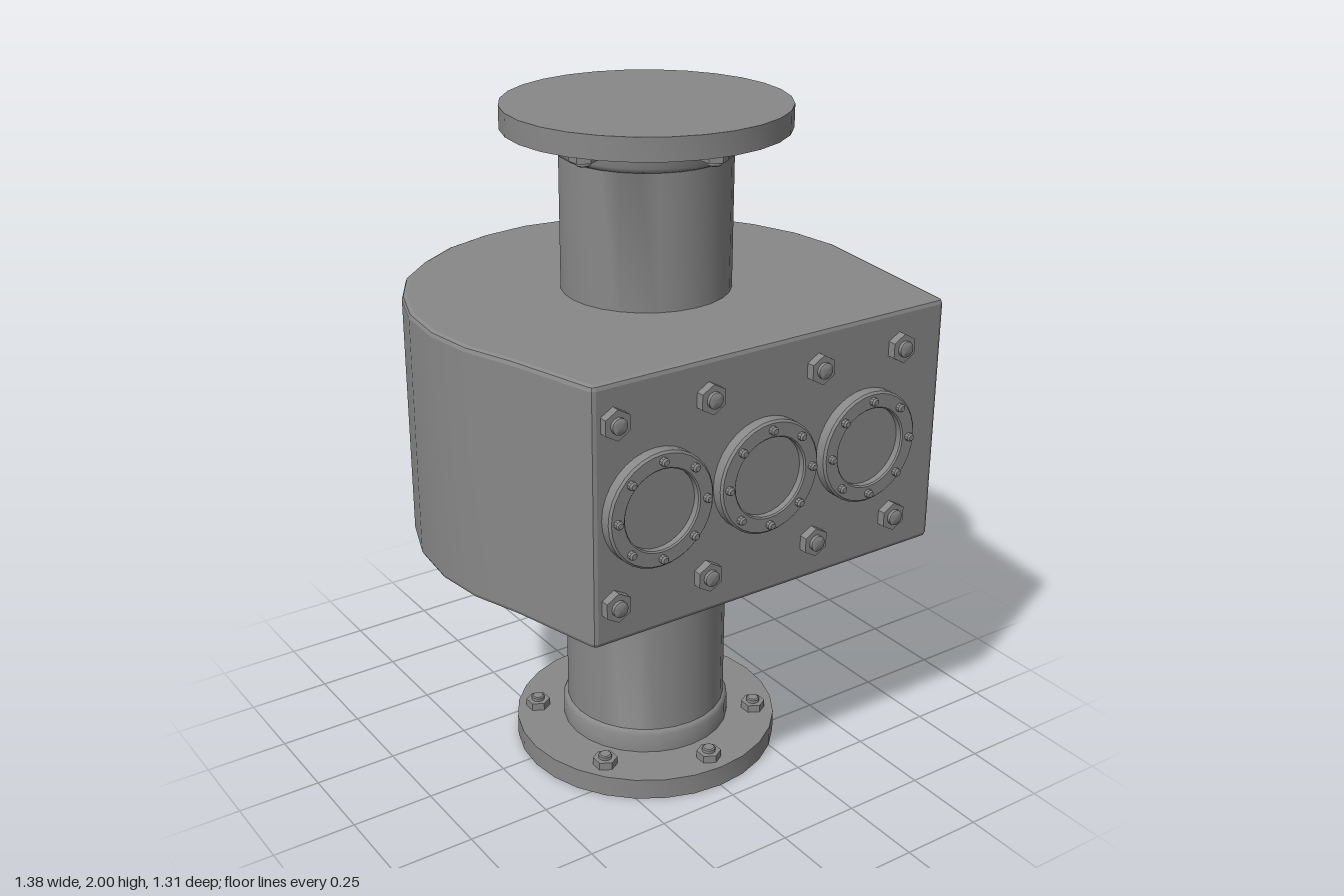
import * as THREE from 'three';
import { toCreasedNormals } from 'three/addons/utils/BufferGeometryUtils.js';

const grey = new THREE.MeshStandardMaterial({ color: 0x888888 });
const AXIS_Z = 0.036;   // pipe axis
const FACE_Z = 0.603;   // flat front of the housing

function mesh(name, geometry, parent, crease = 0.6) {
  const m = new THREE.Mesh(toCreasedNormals(geometry, crease), grey);
  m.name = name;
  parent.add(m);
  return m;
}

function lathe(profile, sides) {
  return new THREE.LatheGeometry(profile.map(([r, y]) => new THREE.Vector2(r, y)), sides);
}

// Hexagon nut and stud end, standing along +y
function makeBolt(name, size) {
  const bolt = new THREE.Group();
  bolt.name = name;
  mesh('nut', new THREE.CylinderGeometry(0.037 * size, 0.037 * size, 0.024, 6), bolt).position.y = 0.012;
  mesh('stud', lathe([[0.02 * size, 0], [0.02 * size, 0.034], [0.016 * size, 0.037], [0, 0.037]], 12), bolt);
  return bolt;
}

// Flange, collar and pipe as one turned part, with bolts at the given angles
function makePipe(name, length, boltAngles) {
  const pipe = new THREE.Group();
  pipe.name = name;
  mesh('flangedPipe', lathe([
    [0, 0], [0.404, 0], [0.404, 0.065], [0.257, 0.065], [0.257, 0.122],
    [0.251, 0.133], [0.244, 0.137], [0.244, length],
  ], 28), pipe);
  for (const degrees of boltAngles) {
    const a = THREE.MathUtils.degToRad(degrees);
    const bolt = makeBolt('flangeBolt', 1);
    bolt.position.set(Math.sin(a) * 0.34, 0.065, Math.cos(a) * 0.34);
    pipe.add(bolt);
  }
  return pipe;
}

// Round window frame with recessed pane and eight screws, facing +y
function makePort() {
  const port = new THREE.Group();
  port.name = 'port';
  mesh('frame', lathe([
    [0.164, 0], [0.164, 0.03], [0.158, 0.036], [0.119, 0.036],
    [0.115, 0.032], [0.115, 0.014], [0, 0.014],
  ], 32), port);
  for (let i = 0; i < 8; i++) {
    const a = (i * Math.PI) / 4;
    const screw = mesh('screw', lathe([[0.012, 0], [0.012, 0.011], [0.008, 0.016], [0, 0.016]], 10), port);
    screw.position.set(Math.sin(a) * 0.139, 0.036, Math.cos(a) * 0.139);
  }
  return port;
}

// Rounded drum with a flat front, outline given as x, z
function makeHousing(parent) {
  const outline = [
    [0, -0.656], [0.16, -0.634], [0.31, -0.582], [0.435, -0.496], [0.543, -0.39],
    [0.62, -0.26], [0.672, -0.115], [0.689, 0.036], [0.619, 0.588], [0.614, 0.598], [0.603, FACE_Z],
    [-0.535, FACE_Z], [-0.545, 0.599], [-0.551, 0.588], [-0.62, 0.33], [-0.67, 0.185], [-0.689, 0.036],
    [-0.672, -0.122], [-0.618, -0.27], [-0.537, -0.405], [-0.424, -0.507], [-0.295, -0.59], [-0.147, -0.638],
  ];
  const shape = new THREE.Shape(outline.map(([x, z]) => new THREE.Vector2(x, -z)));
  const bevel = 0.014;
  const geometry = new THREE.ExtrudeGeometry(shape, {
    depth: 0.74 - 2 * bevel, bevelEnabled: true, bevelThickness: bevel,
    bevelSize: bevel, bevelOffset: -bevel, bevelSegments: 2,
  });
  geometry.rotateX(-Math.PI / 2);
  // The low crease angle keeps the walls free of shading from the rounded rims
  mesh('housing', geometry, parent, 0.35).position.y = 0.735 + bevel;
}

export function createModel() {
  const model = new THREE.Group();
  model.name = 'flangedHousing';

  makeHousing(model);

  const lower = makePipe('lowerPipe', 0.8, [0, 55, 125, 180, 235, 305]);
  lower.position.z = AXIS_Z;
  model.add(lower);

  const upper = makePipe('upperPipe', 0.6, [3, 63, 123, 183, 243, 303]);
  upper.rotation.z = Math.PI;
  upper.position.set(0, 2, AXIS_Z);
  model.add(upper);

  // Everything mounted on the flat front
  for (const x of [-0.358, -0.008, 0.34]) {
    const port = makePort();
    port.rotation.x = Math.PI / 2;
    port.position.set(x, 1.104, FACE_Z);
    model.add(port);
  }
  for (const y of [0.853, 1.368]) {
    for (const x of [-0.486, -0.192, 0.17, 0.456]) {
      const bolt = makeBolt('frontBolt', 1.15);
      bolt.rotation.x = Math.PI / 2;
      bolt.position.set(x, y, FACE_Z);
      model.add(bolt);
    }
  }
  return model;
}
